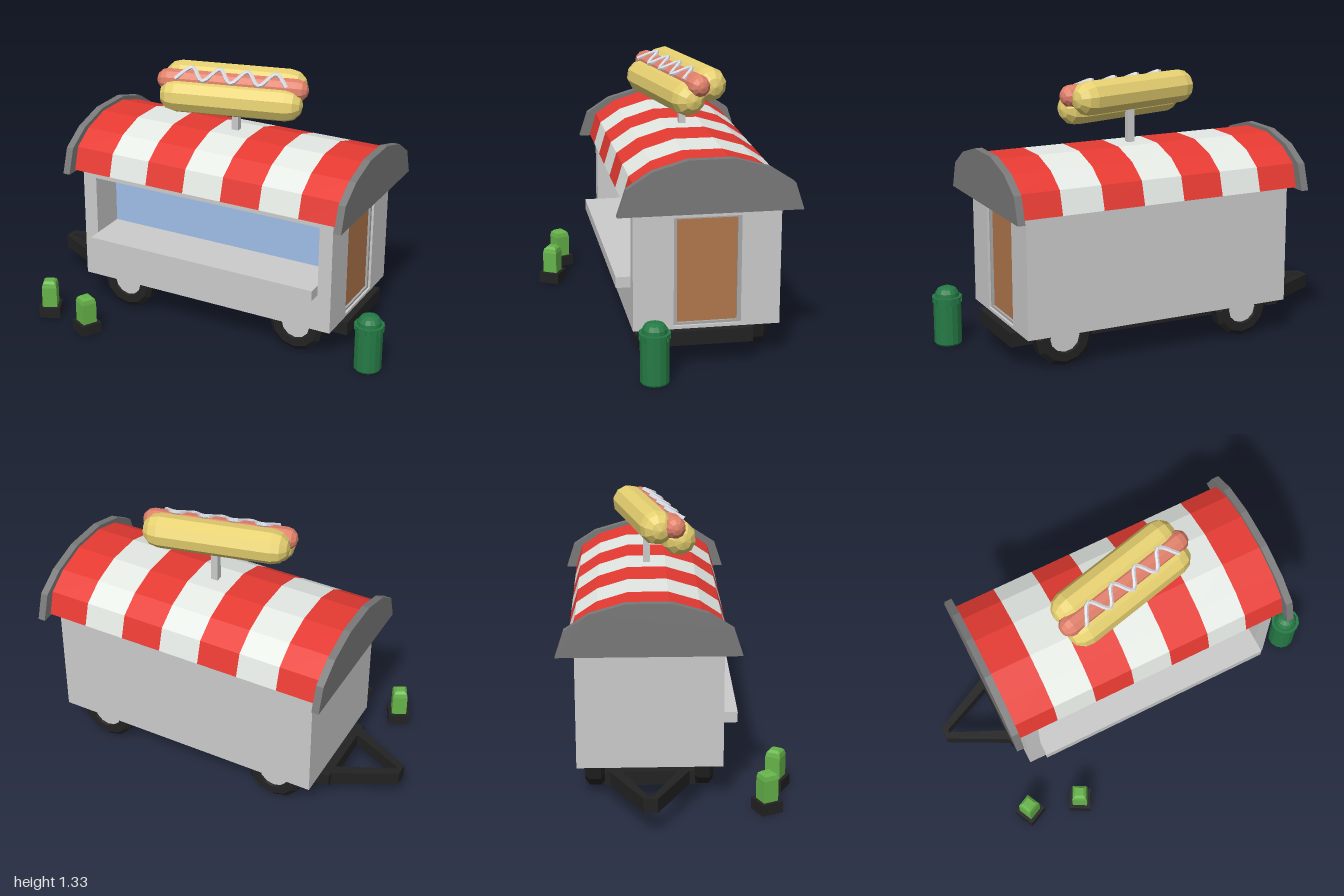
import * as THREE from 'three';

const mat = (color, extra = {}) => new THREE.MeshStandardMaterial({ color, flatShading: true, ...extra });
const GREY = mat(0xcccccc), DARK = mat(0x797979), BLACK = mat(0x222222);
const RED = mat(0xe63a32), WHITE = mat(0xe4e9e4), BLUE = mat(0xa0bee9), WOOD = mat(0xb2774c);
const BUN = mat(0xe6d070), SAUSAGE = mat(0xe0806a), PLANT = mat(0x66b34a), BIN = mat(0x257a45);

function add(parent, name, geometry, material, x = 0, y = 0, z = 0) {
  const mesh = new THREE.Mesh(geometry, material);
  mesh.name = name;
  mesh.position.set(x, y, z);
  parent.add(mesh);
  return mesh;
}

// Box given by its lower and upper corner
function block(parent, name, material, a, b) {
  const g = new THREE.BoxGeometry(b[0] - a[0], b[1] - a[1], b[2] - a[2]);
  return add(parent, name, g, material, (a[0] + b[0]) / 2, (a[1] + b[1]) / 2, (a[2] + b[2]) / 2);
}

const outline = (pts) => new THREE.Shape(pts.map(([u, v]) => new THREE.Vector2(u, v)));
const rect = (u0, v0, u1, v1) => outline([[u0, v0], [u1, v0], [u1, v1], [u0, v1]]);
const extrude = (shape, depth) => new THREE.ExtrudeGeometry(shape, { depth, bevelEnabled: false });
// Extrude a shape drawn in (-z, y) along +x
const extrudeX = (shape, depth) => extrude(shape, depth).rotateY(Math.PI / 2);
const lathe = (pts, n) => new THREE.LatheGeometry(pts.map(([r, y]) => new THREE.Vector2(r, y)), n);

const MID = -0.132; // centre line of the cart in z

// Arched section, symmetric about the centre line, from half-widths and heights
function arch(half) {
  const left = half.map(([w, y]) => [-MID - w, y]);
  const right = half.map(([w, y]) => [-MID + w, y]).reverse();
  return outline([...left, ...right].reverse());
}

function buildBody(cart) {
  block(cart, 'bodyCore', GREY, [-0.655, 0.18, -0.48], [0.715, 0.78, 0.03]);

  // Front wall with the serving opening
  const front = rect(-0.655, 0.18, 0.745, 0.78);
  front.holes.push(rect(-0.58, 0.375, 0.675, 0.735));
  add(cart, 'frontWall', extrude(front, 0.19), GREY, 0, 0, 0.03);
  block(cart, 'servingWindow', BLUE, [-0.58, 0.4, 0.025], [0.675, 0.735, 0.034]);
  block(cart, 'counter', GREY, [-0.58, 0.375, 0.03], [0.675, 0.428, 0.29]);

  // End wall with the recessed door
  const end = rect(-0.03, 0.18, 0.48, 0.78);
  end.holes.push(rect(-0.028, 0.195, 0.293, 0.725));
  add(cart, 'endWall', extrudeX(end, 0.03), GREY, 0.715);
  const frame = rect(-0.028, 0.195, 0.293, 0.725);
  frame.holes.push(rect(-0.011, 0.207, 0.276, 0.715));
  add(cart, 'doorFrame', extrudeX(frame, 0.018), mat(0xaaaaaa), 0.715);
  block(cart, 'door', WOOD, [0.71, 0.207, -0.276], [0.722, 0.715, 0.011]);
}

function buildRoof(cart) {
  const awning = arch([[0.38, 0.77], [0.345, 0.885], [0.242, 0.955], [0.094, 1.0]]);
  const cap = arch([[0.433, 0.762], [0.391, 0.891], [0.274, 0.968], [0.105, 1.017]]);
  const step = 1.475 / 7;
  for (let i = 0; i < 7; i++)
    add(cart, 'awningStripe' + i, extrudeX(awning, step), i % 2 ? WHITE : RED, -0.69 + i * step);
  for (const x of [-0.725, 0.782]) add(cart, 'roofEnd', extrudeX(cap, 0.037), DARK, x);
}

function buildChassis(cart) {
  block(cart, 'chassis', BLACK, [-0.7, 0.11, -0.345], [0.78, 0.18, 0.081]);

  // Triangular tow hitch, drawn in (x, -z) and laid flat
  const hitch = outline([[-0.68, 0.33], [-1.0, 0.165], [-1.0, 0.1], [-0.68, -0.066]]);
  hitch.holes.push(outline([[-0.7, 0.265], [-0.97, 0.14], [-0.97, 0.124], [-0.7, 0]]));
  add(cart, 'towHitch', extrude(hitch, 0.07).rotateX(-Math.PI / 2), BLACK, 0, 0.11);

  // Chamfered tyres with a shallow hub
  const tyre = [[0.075, -0.03], [0.08, -0.048], [0.122, -0.048], [0.146, -0.028],
    [0.146, 0.028], [0.122, 0.048], [0.08, 0.048], [0.075, 0.03]];
  for (const x of [-0.437, 0.537]) for (const side of [-1, 1]) {
    const wheel = new THREE.Group();
    wheel.name = 'wheel';
    add(wheel, 'tyre', lathe(tyre, 12), BLACK);
    add(wheel, 'hub', new THREE.CylinderGeometry(0.077, 0.077, 0.07, 12), GREY);
    wheel.rotation.x = Math.PI / 2;
    wheel.position.set(x, 0.154, MID + side * 0.262);
    cart.add(wheel);
  }
}

function buildSign(cart) {
  block(cart, 'signPost', GREY, [0.027, 0.98, -0.149], [0.063, 1.17, -0.115]);
  const sign = new THREE.Group();
  sign.name = 'hotDogSign';
  sign.position.set(0.045, 1.218, -0.097);
  sign.rotation.set(0.5, 0.235, 0, 'YXZ'); // turned and tipped to the front

  const capsule = (r, len) => new THREE.CapsuleGeometry(r, len, 3, 10).rotateZ(Math.PI / 2);
  for (const side of [-1, 1]) add(sign, 'bun', capsule(0.085, 0.56), BUN, 0, 0, side * 0.063);
  add(sign, 'sausage', capsule(0.056, 0.66), SAUSAGE, 0, 0.042, 0);

  // Zigzag of sauce
  const pts = [];
  for (let i = 0; i < 9; i++)
    pts.push(new THREE.Vector3(-0.28 + i * 0.071, 0.095, i % 2 ? -0.043 : 0.043));
  const path = new THREE.CatmullRomCurve3(pts);
  add(sign, 'sauce', new THREE.TubeGeometry(path, 48, 0.011, 6), mat(0xd8d8e0));
  cart.add(sign);
}

function buildSurroundings(model) {
  // Potted plants
  for (const [x, z, turn] of [[-0.76, 0.42, 0.45], [-0.495, 0.485, -0.49]]) {
    const plant = new THREE.Group();
    plant.name = 'pottedPlant';
    block(plant, 'pot', BLACK, [-0.055, 0, -0.055], [0.055, 0.056, 0.055]);
    const bush = [[0.054, 0.05], [0.054, 0.165], [0.047, 0.187], [0.03, 0.198], [0, 0.198]];
    add(plant, 'bush', lathe(bush, 4).rotateY(Math.PI / 4), PLANT);
    plant.position.set(x, 0, z);
    plant.rotation.y = turn;
    model.add(plant);
  }

  // Litter bin with domed lid and lugs below the rim
  const bin = new THREE.Group();
  bin.name = 'litterBin';
  const shell = [[0, 0], [0.064, 0], [0.069, 0.008], [0.069, 0.237], [0.075, 0.237], [0.075, 0.246],
    [0.06, 0.246], [0.058, 0.265], [0.045, 0.285], [0.022, 0.295], [0, 0.295]];
  add(bin, 'binShell', lathe(shell, 14), BIN);
  for (let i = 0; i < 10; i++) {
    const a = i * Math.PI / 5;
    const lug = add(bin, 'lug', new THREE.BoxGeometry(0.016, 0.026, 0.008), BIN,
      Math.sin(a) * 0.069, 0.226, Math.cos(a) * 0.069);
    lug.rotation.y = a;
  }
  bin.position.set(0.922, 0, 0.146);
  model.add(bin);
}

export function createModel() {
  const model = new THREE.Group();
  model.name = 'foodCartScene';
  const cart = new THREE.Group();
  cart.name = 'foodCart';
  model.add(cart);
  buildBody(cart);
  buildRoof(cart);
  buildChassis(cart);
  buildSign(cart);
  buildSurroundings(model);
  return model;
}
